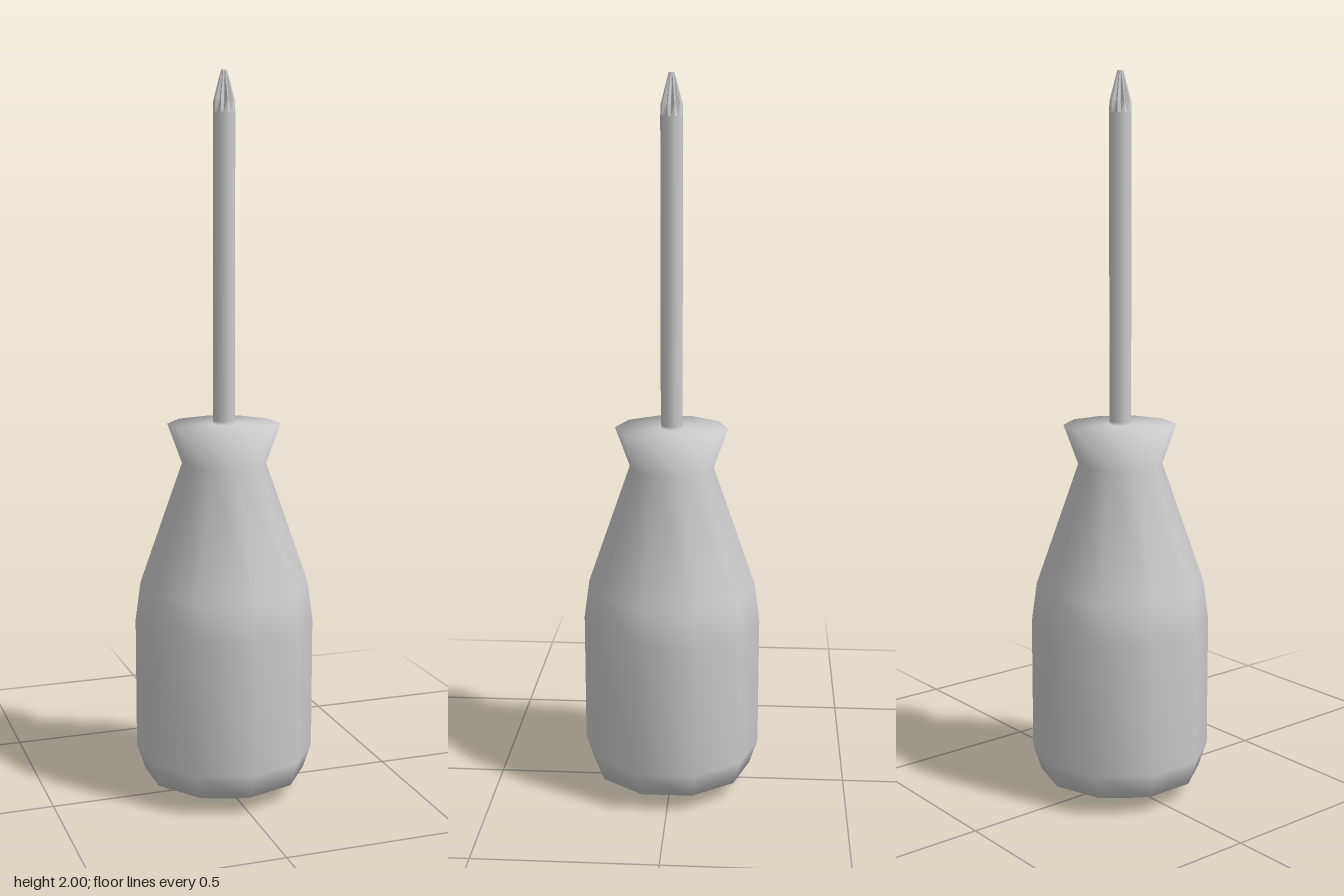
import * as THREE from 'three';

const SIDES = 10;
const SHAFT_R = 0.03;

// Revolves a [radius, height] profile into a smooth ten-sided part.
function lathePart(name, profile, material) {
  const points = profile.map(([r, y]) => new THREE.Vector2(r, y));
  const mesh = new THREE.Mesh(new THREE.LatheGeometry(points, SIDES), material);
  mesh.name = name;
  return mesh;
}

// Tapered driver tip: a groove sits in the middle of every shaft facet.
function tipGeometry() {
  const geometry = new THREE.CylinderGeometry(1, 1, 2, SIDES * 2, 2);
  const rings = {
    '-1': { y: 1.89, ridge: SHAFT_R, groove: SHAFT_R * Math.cos(Math.PI / SIDES) },
    '0': { y: 1.92, ridge: 0.029, groove: 0.02 },
    '1': { y: 2.0, ridge: 0.008, groove: 0.007 },
  };
  const pos = geometry.attributes.position;
  for (let i = 0; i < pos.count; i++) {
    const x = pos.getX(i), z = pos.getZ(i);
    const ring = rings[String(Math.round(pos.getY(i)))];
    const step = Math.round(Math.atan2(x, z) / (Math.PI / SIDES));
    const r = step % 2 === 0 ? ring.ridge : ring.groove;
    pos.setXYZ(i, x * r, ring.y, z * r);
  }
  geometry.computeVertexNormals();
  return geometry;
}

export function createModel() {
  const group = new THREE.Group();
  group.name = 'screwdriver';
  const smooth = new THREE.MeshStandardMaterial({ color: 0xcccccc });
  const faceted = new THREE.MeshStandardMaterial({ color: 0xcccccc, flatShading: true });

  // Bulbous grip, narrow neck, flared collar and the root of the shaft
  group.add(lathePart('handle', [
    [0, 0], [0.113, 0], [0.227, 0.05], [0.25, 0.12], [0.25, 0.49],
    [0.235, 0.6], [0.117, 0.94], [0.157, 1.05], [SHAFT_R, 1.05], [SHAFT_R, 1.06],
  ], smooth));

  // Long straight shaft
  group.add(lathePart('shaft', [[SHAFT_R, 1.06], [SHAFT_R, 1.89]], smooth));

  // Fluted point
  const tip = new THREE.Mesh(tipGeometry(), faceted);
  tip.name = 'tip';
  group.add(tip);

  return group;
}
